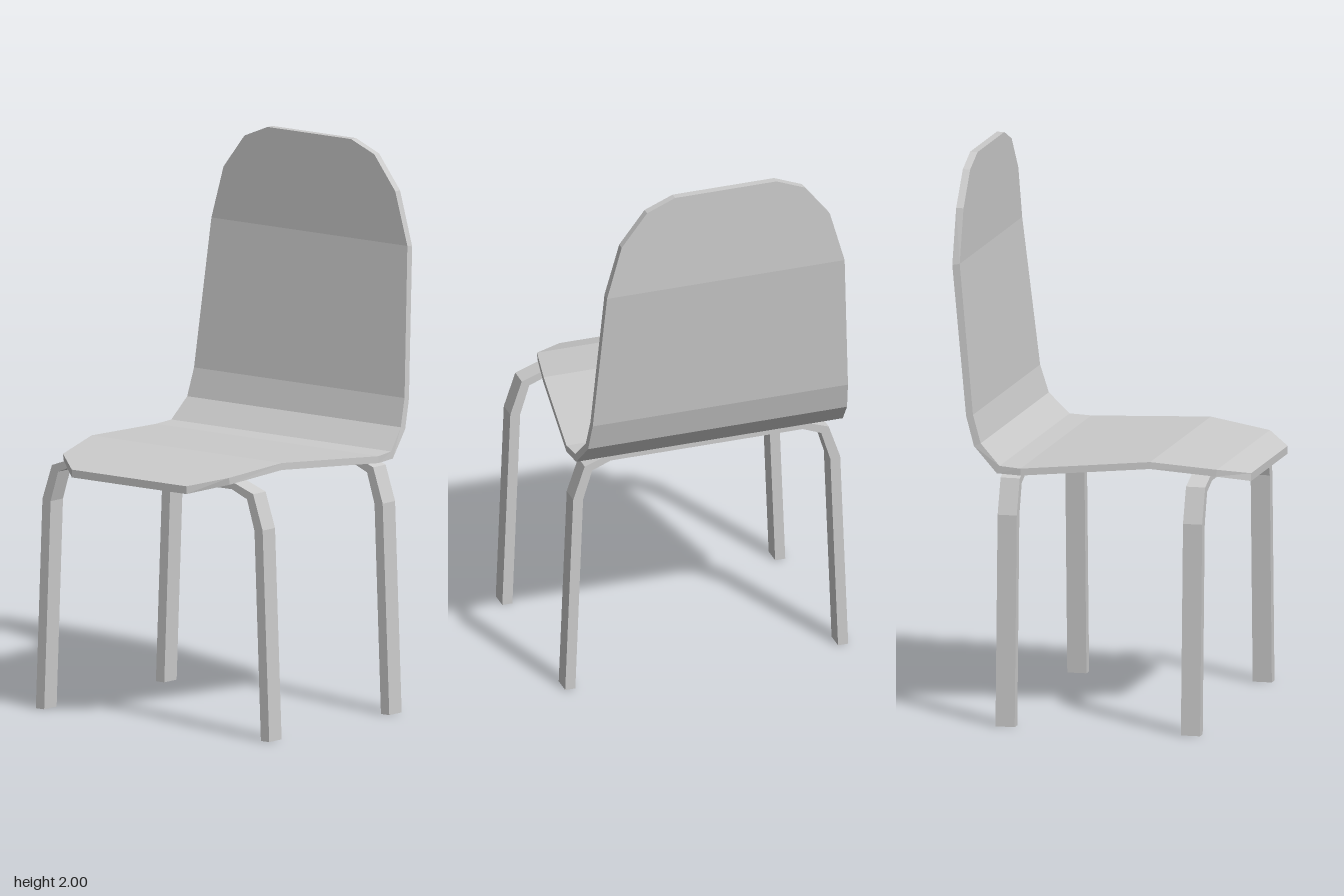
import * as THREE from 'three';

const material = new THREE.MeshStandardMaterial({ color: 0xcccccc, flatShading: true });

// Bent shell: each station is [upper x, upper y, lower x, lower y, half width]
function createShell() {
  const stations = [
    [-0.525, 0.905, -0.525, 0.877, 0.26],
    [-0.43, 0.935, -0.425, 0.91, 0.377],
    [-0.2, 0.962, -0.2, 0.937, 0.432],
    [0.255, 0.93, 0.255, 0.905, 0.505],
    [0.333, 0.935, 0.343, 0.908, 0.499],
    [0.405, 1.01, 0.43, 1.0, 0.485],
    [0.435, 1.11, 0.46, 1.105, 0.478],
    [0.492, 1.645, 0.519, 1.64, 0.445],
    [0.492, 1.835, 0.519, 1.835, 0.39],
    [0.492, 1.957, 0.519, 1.957, 0.295],
    [0.492, 2.0, 0.519, 2.0, 0.19],
  ];
  const zMid = -0.01;
  const positions = [];
  for (const [ux, uy, lx, ly, w] of stations) {
    positions.push(ux, uy, zMid + w, ux, uy, zMid - w, lx, ly, zMid - w, lx, ly, zMid + w);
  }
  const index = [];
  const quad = (a, b, c, d) => index.push(a, b, c, a, c, d);
  const last = (stations.length - 1) * 4;
  for (let s = 0; s < last; s += 4) {
    for (let k = 0; k < 4; k++) {
      const n = (k + 1) % 4;
      quad(s + k, s + 4 + k, s + 4 + n, s + n);
    }
  }
  quad(0, 1, 2, 3); // front edge
  quad(last + 3, last + 2, last + 1, last); // top edge of the backrest
  const indexed = new THREE.BufferGeometry();
  indexed.setAttribute('position', new THREE.Float32BufferAttribute(positions, 3));
  indexed.setIndex(index);
  const geometry = indexed.toNonIndexed();
  geometry.computeVertexNormals();
  const shell = new THREE.Mesh(geometry, material);
  shell.name = 'seatAndBackrest';
  return shell;
}

// Flat-bar arch: two legs joined by a crossbar, mirrored in z
function createLegArch(name, x) {
  const outer = [[0.53, 0], [0.5, 0.757], [0.457, 0.883], [0.368, 0.915]];
  const inner = [[0.492, 0], [0.463, 0.752], [0.429, 0.862], [0.36, 0.89]];
  const mirror = (points) => points.map(([z, y]) => [-z, y]).reverse();
  const outline = [...outer, ...mirror(outer), ...mirror(inner).reverse(), ...[...inner].reverse()];
  const shape = new THREE.Shape(outline.map(([z, y]) => new THREE.Vector2(z, y)));
  const depth = 0.07;
  const geometry = new THREE.ExtrudeGeometry(shape, { depth, bevelEnabled: false });
  geometry.translate(0, 0, -depth / 2);
  geometry.rotateY(Math.PI / 2);
  const arch = new THREE.Mesh(geometry, material);
  arch.name = name;
  arch.position.x = x;
  return arch;
}

export function createModel() {
  const chair = new THREE.Group();
  chair.name = 'chair';
  chair.add(
    createShell(),
    createLegArch('frontLegs', -0.37),
    createLegArch('backLegs', 0.307),
  );
  return chair;
}
